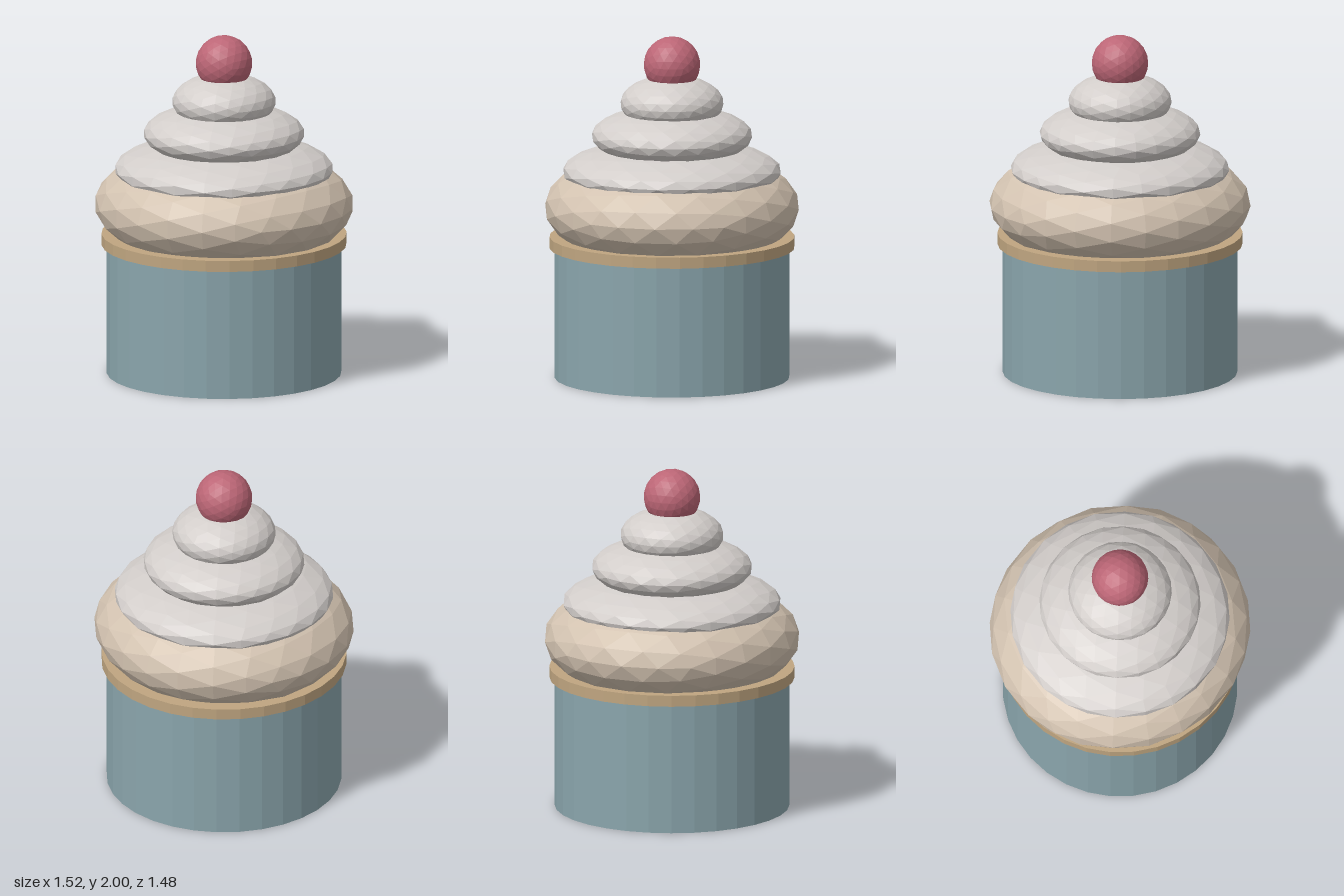
import * as THREE from 'three';

export function createModel() {
  const group = new THREE.Group();
  group.name = 'cupcake';

  const add = (name, geometry, color, y) => {
    const material = new THREE.MeshStandardMaterial({ color, flatShading: true });
    const mesh = new THREE.Mesh(geometry, material);
    mesh.name = name;
    mesh.position.y = y;
    group.add(mesh);
  };

  // Faceted ellipsoid used for the cake top, icing and cherry
  const blob = (rx, ry, rz) => new THREE.IcosahedronGeometry(1, 3).scale(rx, ry, rz);

  // Paper cup and its rim
  add('cup', new THREE.CylinderGeometry(0.68, 0.68, 0.77, 32), 0x8aa5ac, 0.385);
  add('cupRim', new THREE.CylinderGeometry(0.71, 0.71, 0.065, 32), 0xbfa580, 0.795);

  // Domed cake top
  add('cakeTop', blob(0.76, 0.34, 0.74), 0xd2c2b0, 1.0);

  // Icing tiers: radius, half height, centre height
  const tiers = [
    [0.635, 0.17, 1.21],
    [0.467, 0.165, 1.42],
    [0.3, 0.16, 1.61],
  ];
  tiers.forEach(([r, h, y], i) => add(`icingTier${i + 1}`, blob(r, h, r), 0xd2cdca, y));

  // Cherry
  add('cherry', blob(0.164, 0.164, 0.164), 0xbc6676, 1.836);

  return group;
}
